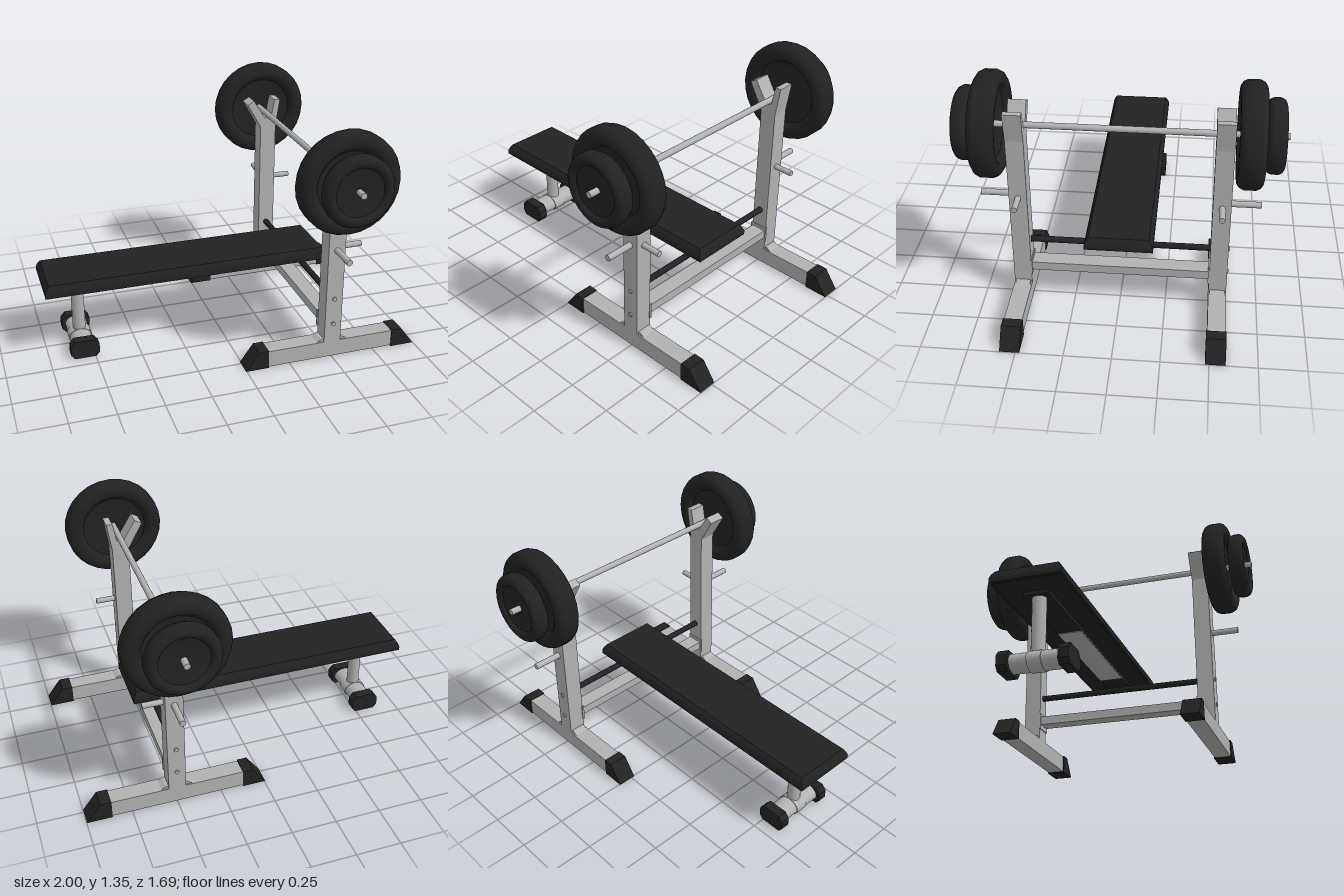
import * as THREE from 'three';
import { toCreasedNormals } from 'three/addons/utils/BufferGeometryUtils.js';

export function createModel() {
  const model = new THREE.Group();
  const steel = new THREE.MeshStandardMaterial({ color: 0xb2b2b2 });
  steel.name = 'steel grey';
  const black = new THREE.MeshStandardMaterial({ color: 0x222222 });
  black.name = 'rubber black';

  const add = (name, geo, mat, x = 0, y = 0, z = 0, parent = model) => {
    const m = new THREE.Mesh(geo, mat);
    m.name = name;
    m.position.set(x, y, z);
    parent.add(m);
    return m;
  };
  // box given by its limits
  const box = (name, mat, x0, x1, y0, y1, z0, z1, parent) =>
    add(name, new THREE.BoxGeometry(x1 - x0, y1 - y0, z1 - z0), mat,
      (x0 + x1) / 2, (y0 + y1) / 2, (z0 + z1) / 2, parent);
  // side profile pushed along z, centred on z
  const slab = (name, mat, pts, depth, z, parent) => {
    const g = new THREE.ExtrudeGeometry(new THREE.Shape(pts.map(p => new THREE.Vector2(...p))),
      { depth, bevelEnabled: false });
    g.translate(0, 0, -depth / 2);
    return add(name, g, mat, 0, 0, z, parent);
  };
  const rodZ = (name, mat, r, x, y, z0, z1, parent, sides = 16) =>
    add(name, new THREE.CylinderGeometry(r, r, z1 - z0, sides).rotateX(Math.PI / 2), mat,
      x, y, (z0 + z1) / 2, parent);
  // dished weight: half profile mirrored about its middle plane
  const weight = (name, half, z, parent) => {
    const pts = [...half, ...half.slice().reverse().map(([r, h]) => [r, -h])].reverse();
    const g = new THREE.LatheGeometry(pts.map(p => new THREE.Vector2(...p)), 28).rotateX(Math.PI / 2);
    add(name, toCreasedNormals(g, 0.6), black, PX, BAR_Y, z, parent);
  };

  const PX = 0.497, BAR_Y = 1.073, PZ = 0.532;

  for (const s of [1, -1]) {
    const side = new THREE.Group();
    side.name = s > 0 ? 'frontStand' : 'backStand';
    model.add(side);
    const span = (name, mat, x0, x1, y0, y1, a, b) =>
      box(name, mat, x0, x1, y0, y1, Math.min(s * a, s * b), Math.max(s * a, s * b), side);
    const rod = (name, mat, r, x, y, a, b) =>
      rodZ(name, mat, r, x, y, Math.min(s * a, s * b), Math.max(s * a, s * b), side);

    // floor rail with slanted end caps
    span('floorRail', steel, 0.12, 0.87, 0.005, 0.1, 0.484, 0.58);
    slab('railEndCap', black, [[-0.005, 0], [0.125, 0], [0.125, 0.105], [0.07, 0.105]], 0.105, s * PZ, side);
    slab('railEndCap', black, [[0.86, 0], [0.998, 0], [0.92, 0.105], [0.86, 0.105]], 0.105, s * PZ, side);
    slab('uprightCollar', steel, [[0.41, 0.1], [0.585, 0.1], [0.56, 0.115], [0.435, 0.115]], 0.08, s * PZ, side);

    // upright with a forked cradle for the bar
    span('upright', steel, 0.449, 0.545, 0.1, 1.0, 0.484, 0.58);
    slab('barCradle', steel, [[0.449, 1.0], [0.545, 1.0], [0.57, 1.165], [0.535, 1.165],
      [0.515, 1.056], [0.475, 1.056], [0.405, 1.168], [0.365, 1.145]], 0.096, s * PZ, side);

    // storage pegs
    rod('sidePeg', steel, 0.017, PX, 0.655, 0.57, 0.735);
    const peg = new THREE.CylinderGeometry(0.016, 0.016, 0.12, 16).rotateZ(Math.PI / 2);
    add('rearPeg', peg, steel, 0.595, 0.655, s * PZ, side);

    // brackets and bolts
    span('crossbarBracket', steel, 0.442, 0.55, 0.16, 0.255, 0.478, 0.49);
    for (const y of [0.21, 0.363]) rod('bolt', steel, 0.012, PX, y, 0.57, 0.587);

    // weights
    weight('largeWeight', [[0.02, 0.012], [0.09, 0.016], [0.18, 0.03], [0.2, 0.058], [0.215, 0.066],
      [0.245, 0.066], [0.265, 0.053], [0.276, 0.03]], s * 0.657, side);
    weight('smallWeight', [[0.015, 0.014], [0.085, 0.02], [0.13, 0.028], [0.14, 0.04], [0.15, 0.046],
      [0.168, 0.046], [0.183, 0.036], [0.192, 0.018]], s * 0.775, side);
  }

  // barbell and cross members
  rodZ('barbell', steel, 0.017, PX, BAR_Y, -0.845, 0.845);
  box('lowerCrossbar', steel, 0.453, 0.541, 0.185, 0.235, -0.484, 0.484);
  rodZ('benchSupportRod', black, 0.017, PX, 0.363, -0.485, 0.485);

  // bench pad with a sloped upper edge
  const pad = new THREE.BoxGeometry(1.62, 0.065, 0.366, 1, 3, 1);
  const p = pad.attributes.position;
  const inset = { 3: 0.022, 2: 0.008, 1: 0, 0: 0 };
  for (let i = 0; i < p.count; i++) {
    const d = inset[Math.round((p.getY(i) + 0.0325) / 0.065 * 3)];
    p.setX(i, p.getX(i) - Math.sign(p.getX(i)) * d);
    p.setZ(i, p.getZ(i) - Math.sign(p.getZ(i)) * d);
  }
  add('benchPad', toCreasedNormals(pad, 0.2), black, -0.19, 0.4325, 0);
  box('benchBoard', black, -0.985, 0.605, 0.397, 0.42, -0.172, 0.172);
  box('benchSpine', black, -0.855, 0.52, 0.378, 0.4, -0.066, 0.066);
  box('benchSpinePlate', steel, -0.38, 0.34, 0.374, 0.379, -0.065, 0.065);

  // bench leg and its cross foot
  add('benchLeg', new THREE.CylinderGeometry(0.036, 0.036, 0.31, 20), steel, -0.805, 0.223, 0);
  rodZ('benchFoot', steel, 0.047, -0.805, 0.053, -0.15, 0.15, model, 20).scale.x = 1.3;
  rodZ('footCollar', steel, 0.051, -0.805, 0.052, -0.036, 0.036, model, 20).scale.x = 1.3;
  for (const s of [1, -1]) {
    slab('footCap', black, [[-0.865, 0], [-0.745, 0], [-0.725, 0.025], [-0.725, 0.075], [-0.75, 0.105],
      [-0.86, 0.105], [-0.885, 0.075], [-0.885, 0.025]], 0.055, s * 0.153);
  }

  return model;
}
